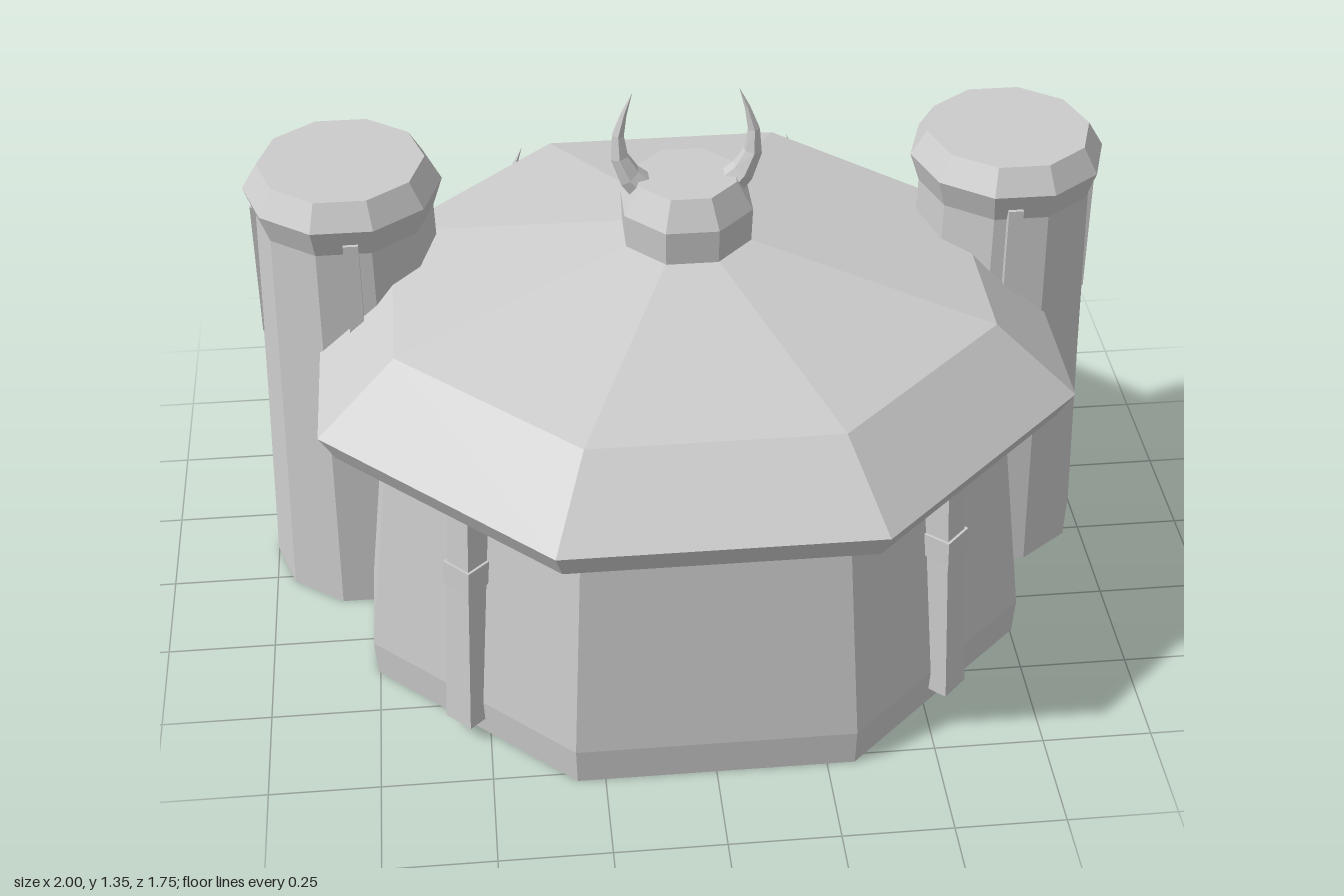
import * as THREE from 'three';

const stone = new THREE.MeshStandardMaterial({ color: 0xcccccc, flatShading: true, side: THREE.DoubleSide });
stone.name = 'plain grey';

function add(parent, name, geometry, x = 0, y = 0, z = 0) {
  const mesh = new THREE.Mesh(geometry, stone);
  mesh.name = name;
  mesh.position.set(x, y, z);
  parent.add(mesh);
  return mesh;
}

// Faceted solid of revolution from [radius, height] pairs, bottom to top
function turned(profile, sides, start = 0) {
  const points = profile.map(([r, y]) => new THREE.Vector2(r, y));
  return new THREE.LatheGeometry(points, sides, start);
}

// Octagon with flat front and sides; radii are given to the flat
function octagon(profile) {
  const k = 1 / Math.cos(Math.PI / 8);
  return turned(profile.map(([r, y]) => [r * k, y]), 8, Math.PI / 8);
}

// Tube along a curve, tapered to a point
function horn(points, radius) {
  const curve = new THREE.CatmullRomCurve3(points.map(p => new THREE.Vector3(...p)));
  const steps = 5, sides = 6;
  const geometry = new THREE.TubeGeometry(curve, steps, radius, sides);
  const pos = geometry.attributes.position, v = new THREE.Vector3();
  for (let i = 0; i < pos.count; i++) {
    const t = Math.floor(i / (sides + 1)) / steps;
    const c = curve.getPointAt(t);
    v.fromBufferAttribute(pos, i).sub(c).multiplyScalar(1 - t).add(c);
    pos.setXYZ(i, v.x, v.y, v.z);
  }
  return geometry;
}

// Ten-sided barrel with thin leaning splints around it
function barrel(parent, name, x, z, r, h, splints) {
  const group = new THREE.Group();
  group.name = name;
  group.position.set(x, 0, z);
  parent.add(group);
  add(group, 'barrelBody', turned([[0, 0], [r * 0.72, 0], [r * 0.87, h * 0.24],
    [r * 1.03, h * 0.65], [r, h], [0, h]], 10, Math.PI / 10));
  for (let i = 0; i < splints; i++) {
    const holder = new THREE.Group();
    holder.name = 'splintHolder';
    holder.rotation.y = Math.PI / 2 + i * Math.PI * 2 / splints;
    group.add(holder);
    const splint = add(holder, 'splint', new THREE.CylinderGeometry(0.012, 0.003, h * 0.5, 4), 0, h * 0.6, r * 0.99);
    splint.rotation.set(0.08, 0, 0.16);
  }
  return group;
}

export function createModel() {
  const model = new THREE.Group();
  model.name = 'hut';
  const cz = 0.08;

  // Octagonal walls, open underneath
  add(model, 'walls', octagon([[0.755, 0], [0.76, 0.09], [0.695, 0.66]]), 0, 0, cz).scale.z = 0.92;

  // Roof with slanted rim and two slopes
  add(model, 'roof', octagon([[0.69, 0.655], [0.805, 0.655], [0.84, 0.72], [0.665, 0.875], [0.12, 1.005]]),
    0, 0, cz).scale.z = 0.94;
  add(model, 'roofCap', octagon([[0.14, 0.99], [0.143, 1.08], [0.108, 1.145], [0, 1.145]]), 0, 0, 0.076);

  for (const s of [1, -1]) {
    const side = new THREE.Group();
    side.name = s > 0 ? 'leftSide' : 'rightSide';
    side.scale.x = s;
    model.add(side);

    // Round tower with flared top
    add(side, 'tower', turned([[0.235, 0], [0.217, 0.5], [0.203, 0.98], [0.226, 1.05], [0.19, 1.11], [0, 1.11]],
      10, Math.PI / 10), 0.767, 0, -0.118);
    for (const d of [1, -1]) {
      const slat = add(side, 'towerSlat', new THREE.BoxGeometry(0.034, 0.26, 0.03), 0.75, 0.88, -0.118 + d * 0.2);
      slat.rotation.x = -d * 0.03;
    }
    add(side, 'towerSlat', new THREE.BoxGeometry(0.025, 0.34, 0.012), 0.968, 0.83, -0.118);

    // Posts in the middle of the diagonal walls
    for (const d of [1, -1]) {
      const post = new THREE.Group();
      post.name = 'wallPost';
      post.position.set(0.545, 0.04, cz + d * 0.495);
      post.rotation.set(-d * 0.035, 0, 0.035);
      side.add(post);
      const shaft = new THREE.CylinderGeometry(0.042, 0.054, 0.62, 4);
      add(post, 'postShaft', shaft, 0, 0.31, 0);
      add(post, 'postCollar', new THREE.CylinderGeometry(0.054, 0.054, 0.06, 4), 0, 0.41, 0);
    }

    // Horns on the roof cap and beside the porch
    add(side, 'roofHorn', horn([[0.09, 1.11, 0.076], [0.14, 1.17, 0.076], [0.15, 1.25, 0.07], [0.117, 1.35, 0.064]], 0.036));
    add(side, 'porchHorn', horn([[0.26, 0.46, -0.71], [0.335, 0.47, -0.71], [0.385, 0.56, -0.72],
      [0.375, 0.66, -0.735], [0.34, 0.75, -0.745]], 0.055));

    // Block at the foot of the porch
    add(side, 'footBlock', new THREE.BoxGeometry(0.12, 0.09, 0.15), 0.31, 0.045, -0.782);
  }

  // Back porch with lintel, handle and hipped roof
  add(model, 'porch', new THREE.BoxGeometry(0.54, 0.5, 0.23), 0, 0.25, -0.66);
  add(model, 'porchLintel', new THREE.BoxGeometry(0.58, 0.05, 0.22), 0, 0.517, -0.675);
  add(model, 'doorHandle', new THREE.BoxGeometry(0.022, 0.03, 0.02), -0.08, 0.27, -0.782);
  const hip = new THREE.ConeGeometry(0.31 * Math.SQRT2, 0.23, 4, 1);
  hip.rotateY(Math.PI / 4);
  const p = hip.attributes.position;
  for (let i = 0; i < p.count; i++) if (p.getZ(i) > 0.1) p.setZ(i, 0.02);
  add(model, 'porchRoof', hip, 0, 0.655, -0.568);

  // Barrels behind the hut
  const big = barrel(model, 'largeBarrel', 0.655, -0.548, 0.17, 0.345, 6);
  barrel(model, 'smallBarrel', -0.567, -0.585, 0.125, 0.24, 5);
  for (const x of [-0.04, 0.055]) {
    const stick = add(big, 'lidStick', new THREE.BoxGeometry(0.022, 0.018, 0.135), x, 0.358, 0.01);
    stick.rotation.set(-0.06, 0.2, 0);
  }
  return model;
}
